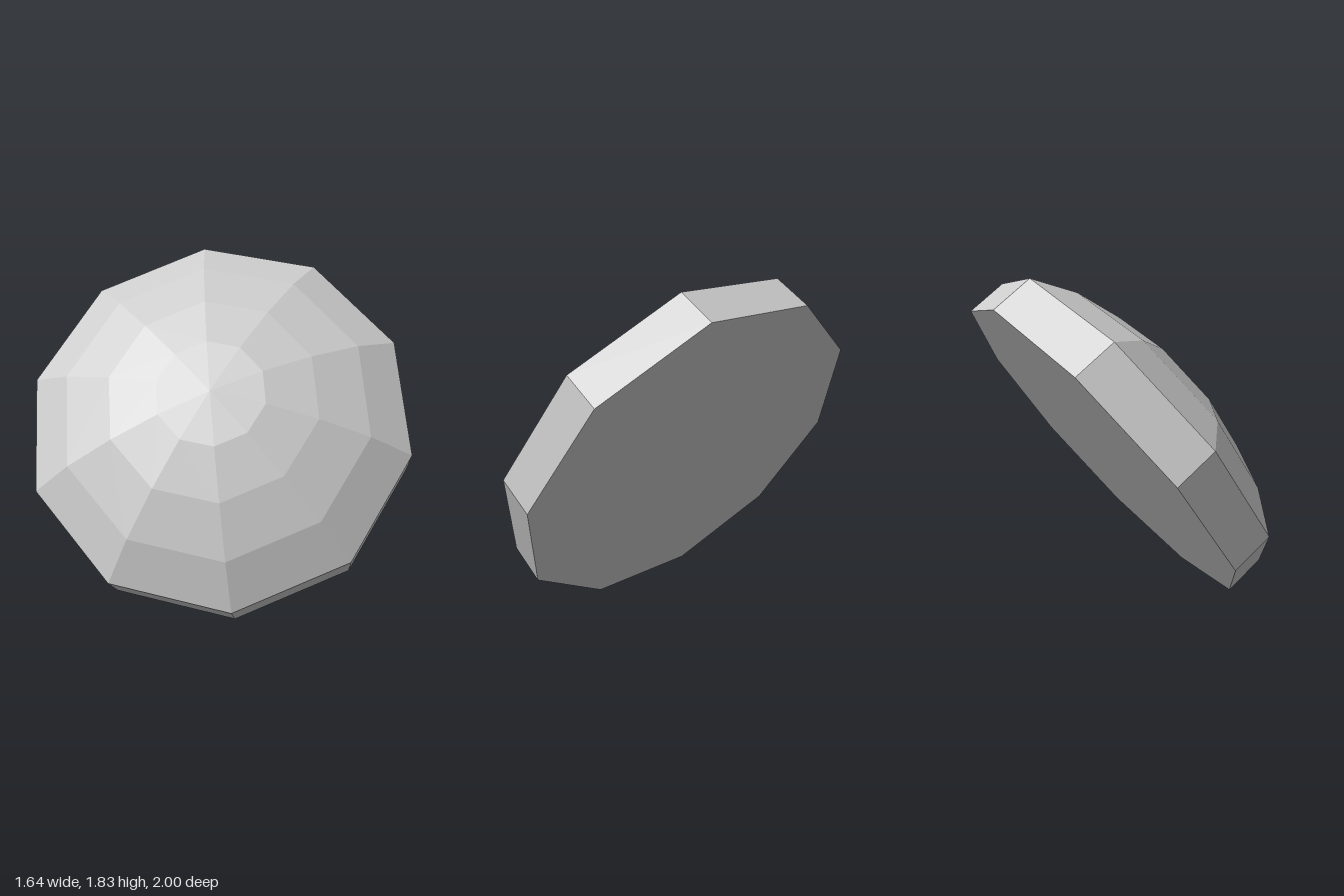
import * as THREE from 'three';

const SIDES = 10;
const RADIUS = 1.063;
const BAND = 0.237;

export function createModel() {
  const stone = new THREE.MeshStandardMaterial({ color: 0xcccccc });
  stone.name = 'pale grey';
  stone.flatShading = true;

  const model = new THREE.Group();
  model.name = 'tiltedDome';

  // Ten-sided solid of revolution from [radius, height] pairs, bottom to top
  const turned = (name, profile) => {
    const points = profile.map(([r, h]) => new THREE.Vector2(r, h));
    const mesh = new THREE.Mesh(new THREE.LatheGeometry(points, SIDES), stone);
    mesh.name = name;
    model.add(mesh);
  };

  // Flat underside, straight rim and shallow faceted dome
  turned('base', [[0, 0], [RADIUS, 0]]);
  turned('rim', [[RADIUS, 0], [RADIUS, BAND]]);
  turned('dome', [
    [RADIUS, BAND],
    [0.834, BAND + 0.16],
    [0.563, BAND + 0.275],
    [0.29, BAND + 0.345],
    [0, BAND + 0.37],
  ]);

  // Lean the whole piece: its axis points left, up and forward,
  // with one corner of the base straight down and forward
  const axis = new THREE.Vector3(-0.681, 0.6, 0.421).normalize();
  const corner = new THREE.Vector3(0, -0.61, 0.87);
  corner.addScaledVector(axis, -corner.dot(axis)).normalize();
  const side = new THREE.Vector3().crossVectors(axis, corner);
  model.quaternion.setFromRotationMatrix(new THREE.Matrix4().makeBasis(side, axis, corner));
  model.position.set(0.08, 0.845, -0.05);

  const root = new THREE.Group();
  root.name = 'model';
  root.add(model);
  return root;
}
